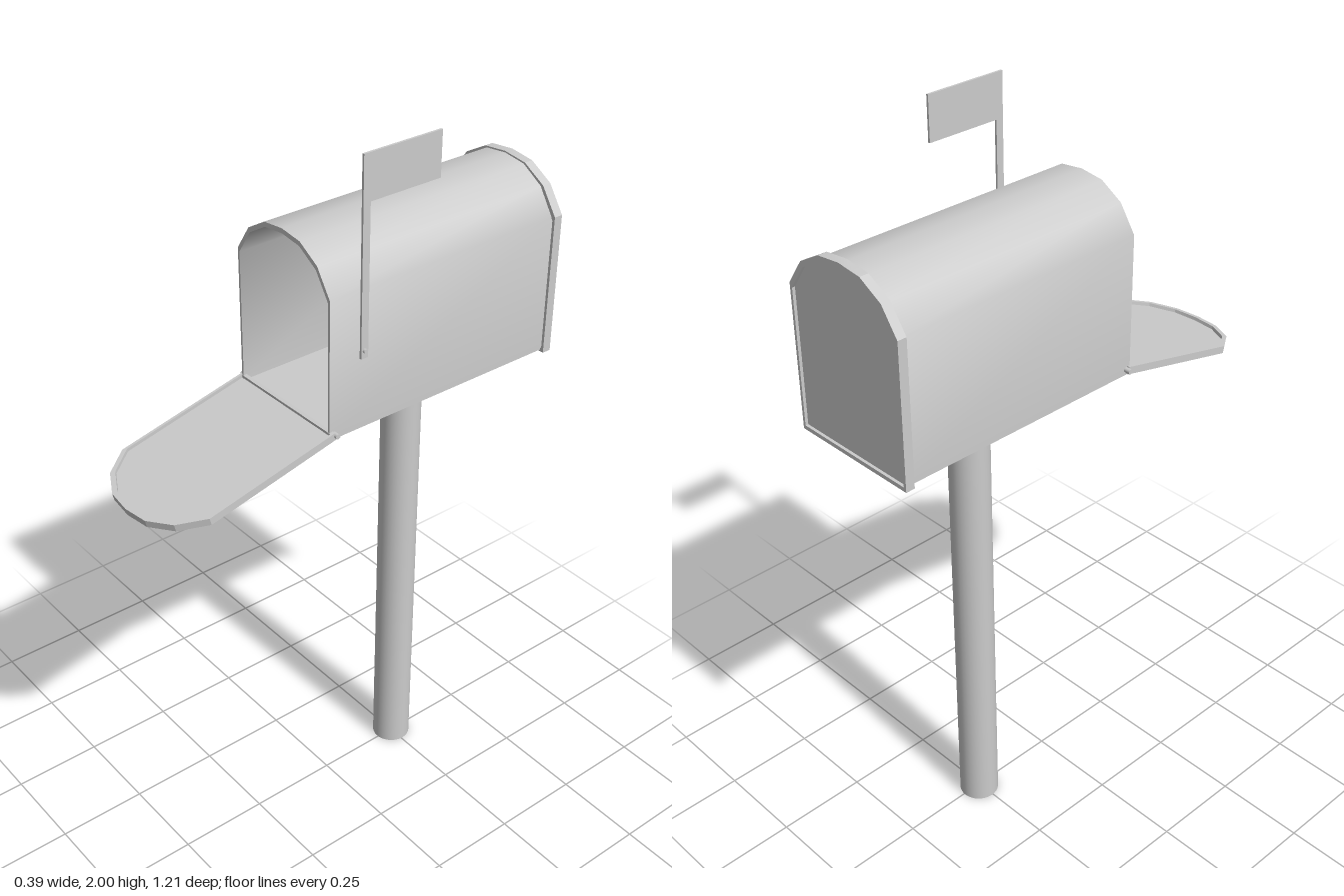
import * as THREE from 'three';
import { toCreasedNormals } from 'three/addons/utils/BufferGeometryUtils.js';

const CX = -0.004; // centre line of the box and post

// Arched outline standing on y = 0, counter-clockwise, drawn in by an inset (more at the crown)
function arch(half, height, inset = 0, Type = THREE.Shape) {
  const w = half - inset * 0.7, top = height - inset * 1.4, rise = 0.115 - inset * 0.4;
  const side = [[1, 1], [0.74, 0.4], [0.38, 0.07]]; // fraction of width, drop from top
  const pts = [[w, inset]];
  side.forEach(([x, d]) => pts.push([w * x, top - rise * d]));
  pts.push([0, top]);
  [...side].reverse().forEach(([x, d]) => pts.push([-w * x, top - rise * d]));
  pts.push([-w, inset]);
  return new Type(pts.map(([x, y]) => new THREE.Vector2(x, y)));
}

function extrude(shape, z0, z1, crease = 0.3) {
  const g = new THREE.ExtrudeGeometry(shape, { depth: z1 - z0, bevelEnabled: false });
  g.translate(0, 0, z0);
  return toCreasedNormals(g, crease);
}

function ring(half, height, wall) {
  const s = arch(half, height);
  s.holes.push(arch(half, height, wall, THREE.Path));
  return s;
}

export function createModel() {
  const model = new THREE.Group();
  const mat = new THREE.MeshStandardMaterial({ color: 0xcccccc, side: THREE.DoubleSide });

  function add(name, geo, parent = model, x = 0, y = 0, z = 0) {
    const m = new THREE.Mesh(geo, mat);
    m.name = name;
    m.position.set(x, y, z);
    parent.add(m);
    return m;
  }

  // Round post, open at the foot
  add('post', new THREE.CylinderGeometry(0.054, 0.054, 1.29, 32, 1, true), model, CX, 0.645, -0.254);

  // Hollow box with an arched roof, open at the front
  add('boxShell', extrude(ring(0.177, 0.492, 0.009), -0.59, 0.13, 0.75), model, CX, 1.29, 0);

  // Back cap: raised rim around a slightly recessed panel
  const back = new THREE.Group();
  back.name = 'backCap';
  back.position.set(CX, 1.285, 0);
  model.add(back);
  add('backRim', extrude(ring(0.188, 0.501, 0.011), -0.605, -0.58), back);
  add('backPanel', extrude(arch(0.188, 0.501, 0.009), -0.597, -0.588), back);

  // Door, hinged at the bottom and hanging open, its lip on the inner side
  const door = new THREE.Group();
  door.name = 'door';
  door.position.set(CX + 0.001, 1.3, 0.118);
  door.rotation.x = THREE.MathUtils.degToRad(103);
  model.add(door);
  add('doorRim', extrude(ring(0.186, 0.495, 0.01), -0.014, 0.006), door);
  add('doorPanel', extrude(arch(0.186, 0.495, 0.008), -0.005, 0.005), door);

  // Hinge pins on both sides
  for (const s of [-1, 1]) {
    const pin = add('hingePin', new THREE.CylinderGeometry(0.007, 0.007, 0.018, 12), model, CX + s * 0.185, 1.305, 0.117);
    pin.rotation.z = Math.PI / 2;
  }

  // Signal flag: arm and pennant in one flat plate, raised on the left side
  const flag = new THREE.Shape([
    [-0.042, 1.487], [-0.021, 1.487], [-0.021, 1.883], [0.188, 1.883], [0.188, 2], [-0.042, 2],
  ].map(([x, y]) => new THREE.Vector2(x, y)));
  const plate = add('flag', extrude(flag, 0, 0.006), model, 0.176, 0, 0);
  plate.rotation.y = Math.PI / 2;

  // Rivet the flag turns on
  const rivet = add('flagRivet', new THREE.CylinderGeometry(0.006, 0.006, 0.018, 12), model, 0.179, 1.508, 0.032);
  rivet.rotation.z = Math.PI / 2;

  return model;
}
